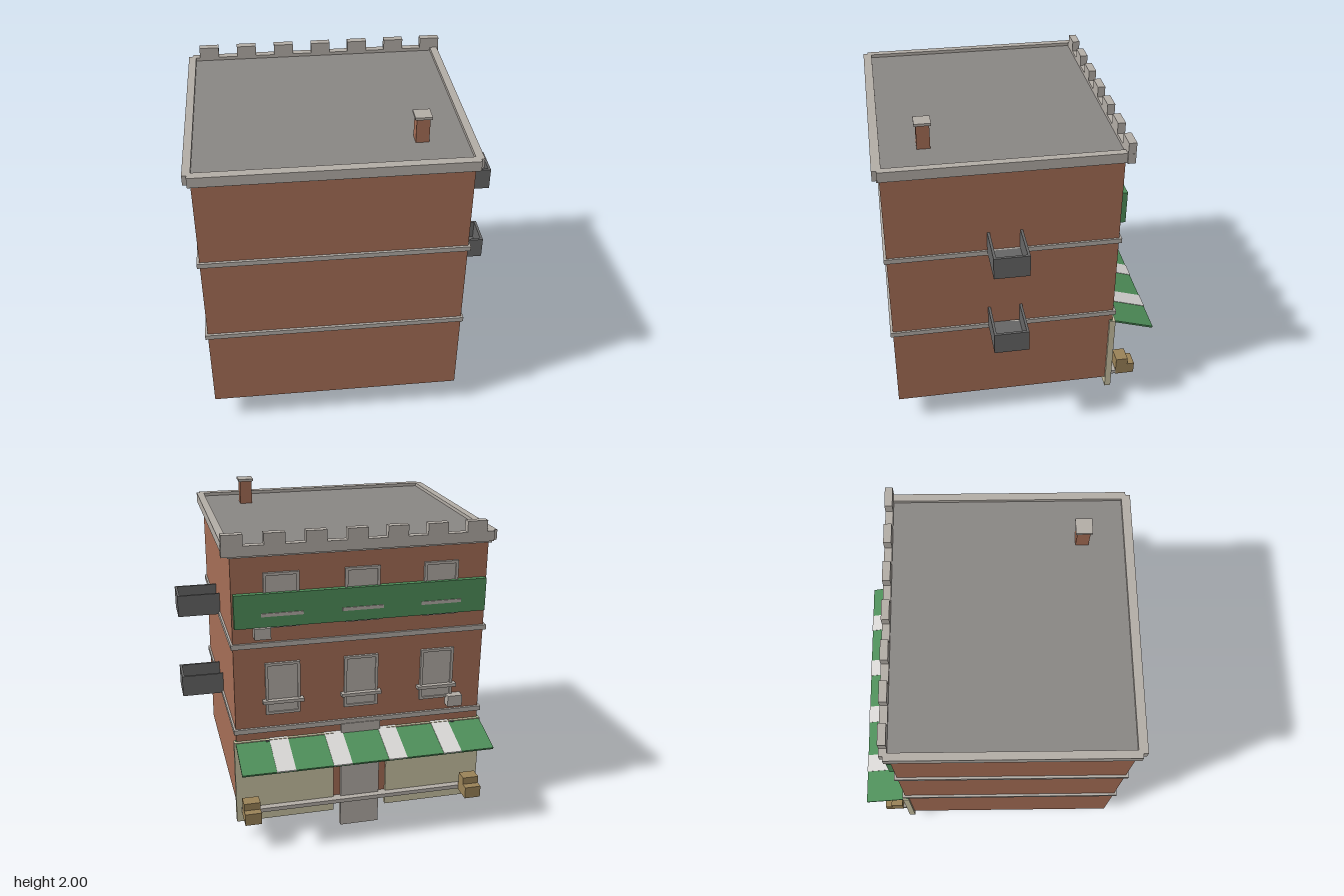
import * as THREE from 'three';

const mat = (name, color) => {
  const m = new THREE.MeshStandardMaterial({ color });
  m.name = name;
  return m;
};

export function createModel() {
  const brick = mat('brick', 0xa66e56);
  const stone = mat('stone', 0xb4aea7);
  const roofGrey = mat('roofGrey', 0x8a8784);
  const cream = mat('cream', 0xcac3a4);
  const iron = mat('iron', 0x666666);
  const green = mat('green', 0x4f8f5a);
  const white = mat('white', 0xd8d6d4);
  const wood = mat('wood', 0x9b8358);

  const model = new THREE.Group();
  model.name = 'shopBuilding';

  // Box given by its low and high limits on each axis
  const box = (name, m, x0, x1, y0, y1, z0, z1, parent = model) => {
    const mesh = new THREE.Mesh(new THREE.BoxGeometry(x1 - x0, y1 - y0, z1 - z0), m);
    mesh.position.set((x0 + x1) / 2, (y0 + y1) / 2, (z0 + z1) / 2);
    mesh.name = name;
    parent.add(mesh);
    return mesh;
  };
  const group = (name) => {
    const g = new THREE.Group();
    g.name = name;
    model.add(g);
    return g;
  };

  // Brick body, floor bands and roof
  box('walls', brick, -0.87, 0.645, 0.18, 1.79, -0.56, 0.79);
  box('lowerBand', stone, -0.885, 0.657, 0.705, 0.735, -0.575, 0.805);
  box('upperBand', stone, -0.885, 0.657, 1.245, 1.275, -0.575, 0.805);
  box('corniceBand', stone, -0.885, 0.657, 1.785, 1.802, -0.575, 0.805);
  box('roof', roofGrey, -0.87, 0.645, 1.79, 1.84, -0.56, 0.78);

  // Parapet with a crenellated street side
  const parapet = group('parapet');
  box('parapetRight', stone, -0.91, -0.865, 1.8, 1.86, -0.58, 0.8, parapet);
  box('parapetLeft', stone, 0.64, 0.685, 1.8, 1.86, -0.565, 0.8, parapet);
  box('parapetFront', stone, -0.885, 0.665, 1.8, 1.86, 0.775, 0.827, parapet);
  box('parapetStreet', stone, -0.885, 0.695, 1.8, 1.86, -0.602, -0.557, parapet);
  for (let i = 0; i < 7; i++) {
    const x = -0.84 + i * 0.2355;
    box('merlon', stone, x, x + 0.12, 1.86, 1.925, -0.602, -0.557, parapet);
  }

  // Chimney
  box('chimney', brick, 0.353, 0.428, 1.83, 1.987, 0.495, 0.57);
  box('chimneyCap', stone, 0.343, 0.438, 1.985, 2.0, 0.485, 0.58);

  // Open-topped balconies on the side wall
  for (const y of [0.72, 1.26]) {
    const b = group('balcony');
    const top = y + 0.135;
    box('balconyFloor', iron, 0.645, 0.905, y, y + 0.015, 0.01, 0.215, b);
    box('balconyOuterWall', iron, 0.89, 0.905, y, top, 0.01, 0.215, b);
    box('balconySideWall', iron, 0.645, 0.905, y, top, 0.01, 0.025, b);
    box('balconySideWall', iron, 0.645, 0.905, y, top, 0.2, 0.215, b);
  }

  // Windows: pane, frame and projecting sill
  for (const y of [0.82, 1.365]) {
    for (const x of [-0.585, -0.1125, 0.36]) {
      const w = group('window');
      const top = y + 0.325;
      box('pane', stone, x - 0.1, x + 0.1, y, top, -0.569, -0.555, w);
      for (const s of [-1, 1]) {
        box('frameSide', stone, x + s * 0.095 - 0.008, x + s * 0.095 + 0.008, y, top, -0.577, -0.555, w);
      }
      box('frameTop', stone, x - 0.103, x + 0.103, top - 0.016, top, -0.577, -0.555, w);
      box('frameBottom', stone, x - 0.103, x + 0.103, y, y + 0.016, -0.577, -0.555, w);
      box('sill', stone, x - 0.122, x + 0.122, y + 0.075, y + 0.095, -0.597, -0.555, w);
    }
  }

  // Signboards and air conditioning units
  box('signboard', green, -0.86, 0.635, 1.375, 1.575, -0.592, -0.555);
  box('airUnit', stone, 0.43, 0.525, 1.31, 1.377, -0.613, -0.555);
  box('airUnit', stone, -0.745, -0.653, 0.77, 0.84, -0.613, -0.555);

  // Shopfront panels, door, shelf and small sign
  box('shopPanelRight', cream, -0.885, -0.28, 0.115, 0.655, -0.578, -0.54);
  box('shopPanelLeft', cream, 0.055, 0.66, 0.115, 0.655, -0.578, -0.54);
  box('door', stone, -0.235, 0.008, 0, 0.71, -0.58, -0.54);
  box('shelf', stone, -0.85, 0.63, 0.185, 0.21, -0.618, -0.555);
  box('smallSign', green, -0.54, -0.34, 0.48, 0.54, -0.587, -0.57);
  for (const x of [-0.7, 0.46]) {
    box('awningBracket', iron, x - 0.01, x + 0.01, 0.54, 0.655, -0.586, -0.57);
  }

  // Sloped awning with stripes
  const awning = group('awning');
  awning.position.set(-0.115, 0.66, -0.545);
  awning.rotation.x = -Math.atan2(0.088, 0.28);
  box('awningCloth', green, -0.765, 0.765, -0.012, 0, -0.293, 0, awning);
  for (const x of [-0.505, -0.165, 0.17, 0.507]) {
    box('awningStripe', white, x - 0.056, x + 0.056, -0.004, 0.003, -0.295, 0, awning);
  }

  // Stepped crates at both ends of the shelf
  for (const x of [-0.855, 0.53]) {
    const c = group('crates');
    box('lowCrate', wood, x, x + 0.1, 0.18, 0.255, -0.735, -0.615, c);
    box('topCrate', wood, x, x + 0.1, 0.255, 0.3, -0.69, -0.615, c);
  }

  return model;
}
